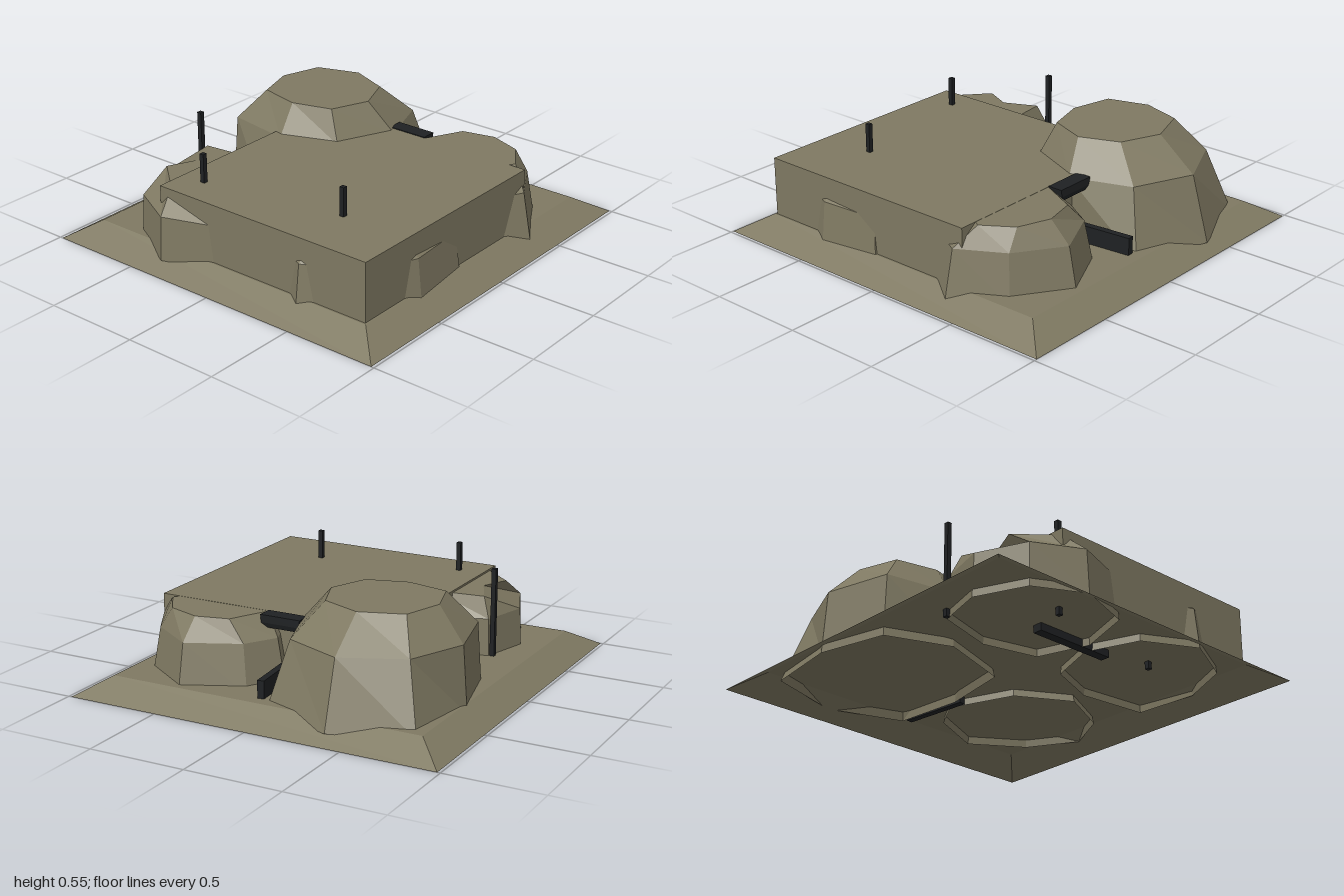
import * as THREE from 'three';

// Skin stacked rings of [x, z] points (listed from +x towards +z), capped on top
function loft(levels) {
  const pos = [];
  const put = (...pts) => pts.forEach((p) => pos.push(p[0], p[1], p[2]));
  const rings = levels.map(([y, pts]) => pts.map(([x, z]) => [x, y, z]));
  const n = rings[0].length;
  for (let k = 0; k + 1 < rings.length; k++) {
    for (let i = 0; i < n; i++) {
      const j = (i + 1) % n;
      const a = rings[k][i], b = rings[k][j], c = rings[k + 1][j], d = rings[k + 1][i];
      put(a, d, c, a, c, b);
    }
  }
  const top = rings[rings.length - 1];
  const mid = [0, 1, 2].map((e) => top.reduce((s, p) => s + p[e], 0) / n);
  for (let i = 0; i < n; i++) put(mid, top[(i + 1) % n], top[i]);
  const geo = new THREE.BufferGeometry();
  geo.setAttribute('position', new THREE.Float32BufferAttribute(pos, 3));
  geo.computeVertexNormals();
  return geo;
}

const rect = (x0, x1, z0, z1) => [[x1, z0], [x1, z1], [x0, z1], [x0, z0]];
// Ring pulled towards a centre
const shrink = (pts, cx, cz, s) => pts.map(([x, z]) => [cx + (x - cx) * s, cz + (z - cz) * s]);

export function createModel() {
  const group = new THREE.Group();
  const stone = new THREE.MeshStandardMaterial({ color: 0x7f7962, side: THREE.DoubleSide, flatShading: true });
  stone.name = 'stone';
  const iron = new THREE.MeshStandardMaterial({ color: 0x1f2123 });
  iron.name = 'black iron';

  const add = (name, geo, mat, x = 0, y = 0, z = 0) => {
    const mesh = new THREE.Mesh(geo, mat);
    mesh.name = name;
    mesh.position.set(x, y, z);
    group.add(mesh);
    return mesh;
  };

  // Sloped ground slab, open underneath
  add('groundSlab', loft([[0, rect(-1, 1, -0.985, 0.985)], [0.09, rect(-0.85, 0.85, -0.84, 0.835)]]), stone);

  // Flat-topped plateau
  add('plateau', loft([[0.09, rect(-0.84, 0.42, -0.435, 0.825)], [0.395, rect(-0.84, 0.42, -0.435, 0.825)]]), stone);

  // Tall boulder
  add('tallBoulder', loft([
    [0.045, [[0.94, -0.39], [0.8, 0], [0.42, 0.03], [0.04, -0.04], [-0.09, -0.43], [0.04, -0.76], [0.4, -0.85], [0.81, -0.79]]],
    [0.38, [[0.84, -0.39], [0.71, -0.08], [0.4, 0.03], [0.1, -0.1], [-0.01, -0.39], [0.05, -0.74], [0.4, -0.825], [0.7, -0.7]]],
    [0.54, [[0.635, -0.39], [0.55, -0.18], [0.35, -0.1], [0.15, -0.18], [0.09, -0.39], [0.14, -0.61], [0.35, -0.675], [0.56, -0.61]]],
  ]), stone);

  // Front corner boulder
  const front = [[0.82, 0.48], [0.64, 0.75], [0.38, 0.9], [0.14, 0.77], [0.0, 0.48], [0.16, 0.2], [0.5, 0.07], [0.68, 0.18]];
  add('frontBoulder', loft([
    [0.05, front],
    [0.29, shrink(front, 0.4, 0.48, 0.88)],
    [0.394, [[0.66, 0.48], [0.6, 0.65], [0.45, 0.75], [0.28, 0.64], [0.17, 0.48], [0.28, 0.33], [0.42, 0.21], [0.62, 0.31]]],
  ]), stone);

  // Back boulder
  const back = [[-0.2, -0.34], [-0.27, -0.05], [-0.54, 0.04], [-0.83, -0.06], [-0.93, -0.36], [-0.8, -0.61], [-0.54, -0.72], [-0.29, -0.65]];
  add('backBoulder', loft([
    [0.05, back],
    [0.28, shrink(back, -0.55, -0.35, 0.97)],
    [0.385, [[-0.3, -0.34], [-0.36, -0.15], [-0.54, -0.1], [-0.74, -0.15], [-0.8, -0.4], [-0.64, -0.585], [-0.5, -0.52], [-0.33, -0.6]]],
  ]), stone);

  // Boulder mostly buried in the plateau
  const buried = [[-0.09, 0.46], [-0.13, 0.84], [-0.47, 0.865], [-0.74, 0.74], [-0.88, 0.45], [-0.74, 0.18], [-0.47, 0.08], [-0.2, 0.18]];
  add('buriedBoulder', loft([
    [0.05, buried],
    [0.27, shrink(buried, -0.47, 0.46, 0.94)],
    [0.37, shrink(buried, -0.47, 0.46, 0.62)],
  ]), stone);

  // Upright posts
  for (const [x, z] of [[-0.675, -0.3], [-0.54, 0.455], [-0.305, -0.665]]) {
    add('post', new THREE.BoxGeometry(0.024, 0.495, 0.024), iron, x, 0.2975, z);
  }

  // Lintel over the gap, wider on top, and the low sills
  const lintel = loft([[0.335, rect(0.43, 0.49, 0.015, 0.185)], [0.36, rect(0.42, 0.5, 0, 0.205)], [0.399, rect(0.42, 0.5, -0.01, 0.21)]]);
  add('lintel', lintel, iron);
  add('gapSill', new THREE.BoxGeometry(0.38, 0.13, 0.035), iron, 0.6, 0.115, 0.055).rotation.y = 0.1;
  add('innerSill', new THREE.BoxGeometry(0.05, 0.13, 0.46), iron, -0.48, 0.115, -0.02);
  return group;
}
